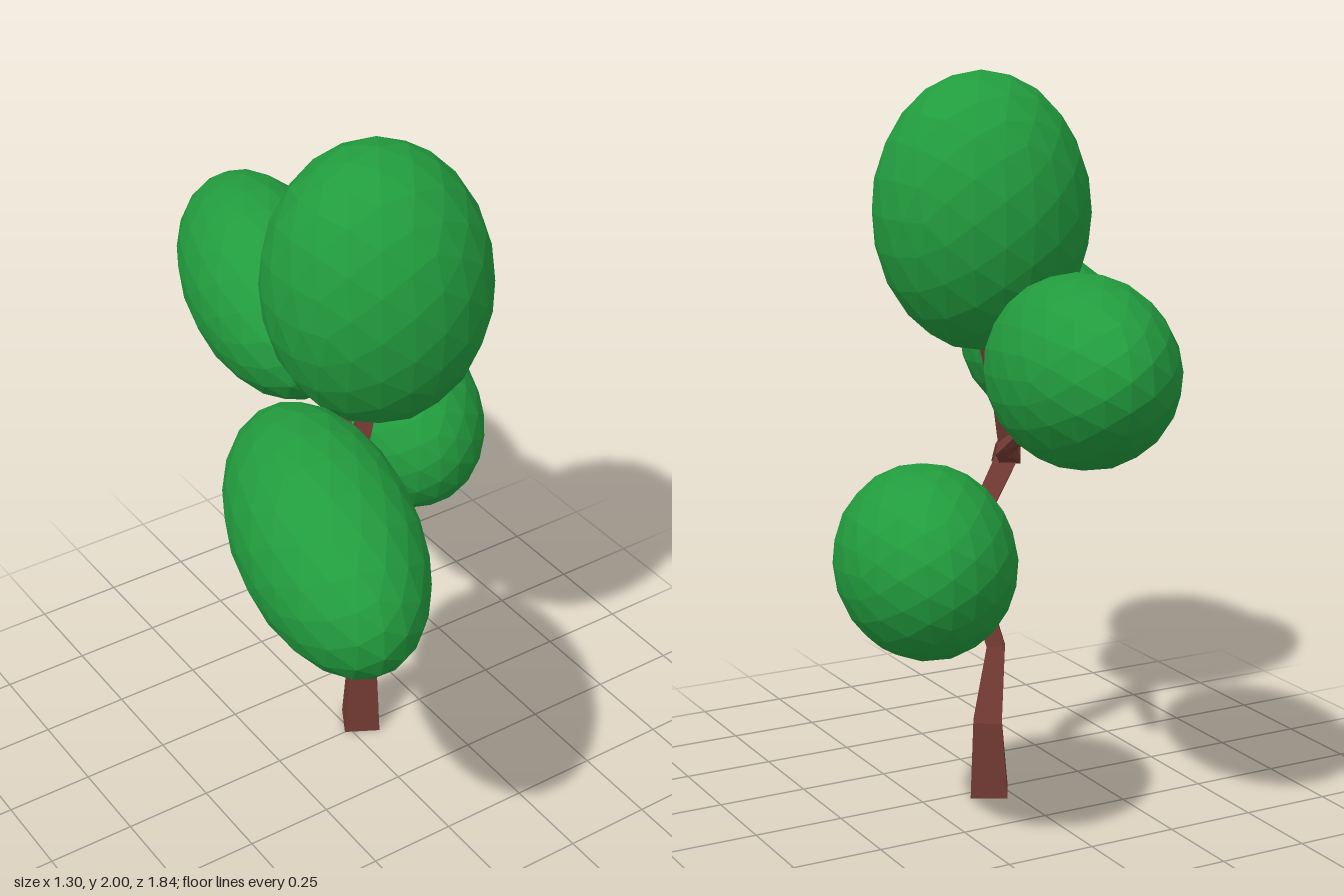
import * as THREE from 'three';

const bark = new THREE.MeshStandardMaterial({ color: 0x733a33, flatShading: true });
const leaf = new THREE.MeshStandardMaterial({ color: 0x229c3e, flatShading: true });
const UP = new THREE.Vector3(0, 1, 0);
const SIDES = 4;

// Four-sided tapering limb through points [x, y, z, radius]
function limb(name, path, flatBase = false) {
  const pts = path.map(([x, y, z]) => new THREE.Vector3(x, y, z));
  const pos = [], index = [];
  pts.forEach((p, k) => {
    const ahead = pts[Math.min(k + 1, pts.length - 1)].clone().sub(p).normalize();
    const behind = p.clone().sub(pts[Math.max(k - 1, 0)]).normalize();
    const dir = flatBase && k === 0 ? UP : ahead.add(behind).normalize();
    const q = new THREE.Quaternion().setFromUnitVectors(UP, dir);
    for (let i = 0; i < SIDES; i++) {
      const a = 1.29 + (i / SIDES) * Math.PI * 2;
      const v = new THREE.Vector3(Math.cos(a), 0, Math.sin(a));
      v.multiplyScalar(path[k][3]).applyQuaternion(q).add(p);
      pos.push(v.x, v.y, v.z);
    }
  });
  for (let k = 0; k < pts.length - 1; k++) {
    for (let i = 0; i < SIDES; i++) {
      const a = k * SIDES + i, b = k * SIDES + (i + 1) % SIDES;
      index.push(a, a + SIDES, b, b, a + SIDES, b + SIDES);
    }
  }
  // End caps
  const e = (pts.length - 1) * SIDES;
  index.push(0, 1, 2, 0, 2, 3, e, e + 2, e + 1, e, e + 3, e + 2);
  const geo = new THREE.BufferGeometry();
  geo.setAttribute('position', new THREE.Float32BufferAttribute(pos, 3));
  geo.setIndex(index);
  geo.computeVertexNormals();
  const mesh = new THREE.Mesh(geo, bark);
  mesh.name = name;
  return mesh;
}

// Faceted ellipsoid of leaves, its long axis turned from +z to the given direction
function foliage(name, center, radii, axis = [0, 0, 1]) {
  const mesh = new THREE.Mesh(new THREE.IcosahedronGeometry(1, 3), leaf);
  mesh.name = name;
  mesh.position.set(...center);
  mesh.scale.set(...radii);
  mesh.quaternion.setFromUnitVectors(
    new THREE.Vector3(0, 0, 1), new THREE.Vector3(...axis).normalize());
  return mesh;
}

export function createModel() {
  const tree = new THREE.Group();
  tree.name = 'tree';

  // Trunk, bending up to the main fork
  tree.add(limb('trunk', [
    [0.05, 0, -0.02, 0.073],
    [0.055, 0.21, -0.02, 0.056],
    [0.003, 0.41, 0.027, 0.036],
    [0.043, 0.6, 0.083, 0.036],
    [0.055, 0.73, 0.088, 0.042],
    [-0.03, 0.83, 0.12, 0.04],
    [-0.105, 0.92, 0.155, 0.045],
    [-0.11, 0.97, 0.155, 0.04],
  ], true));

  // Branches
  tree.add(limb('topBranch', [
    [-0.115, 0.93, 0.16, 0.042], [-0.07, 1.1, 0.135, 0.032], [-0.015, 1.27, 0.12, 0.03],
  ]));
  tree.add(limb('frontBranch', [
    [-0.09, 0.92, 0.15, 0.045], [-0.18, 0.965, 0.235, 0.032],
    [-0.25, 1.0, 0.33, 0.025], [-0.29, 1.04, 0.37, 0.02],
  ]));
  tree.add(limb('backBranch', [
    [-0.12, 0.92, 0.17, 0.042], [0, 0.98, -0.02, 0.03],
    [0.1, 1.025, -0.19, 0.024], [0.082, 1.08, -0.26, 0.02],
  ]));
  tree.add(limb('sideBranch', [
    [0.045, 0.74, 0.095, 0.042], [0.11, 0.71, 0.03, 0.028],
    [0.24, 0.68, -0.13, 0.018], [0.29, 0.69, -0.19, 0.015],
  ]));

  // Foliage
  const lean = [-0.26, -0.13, 1];
  tree.add(foliage('topFoliage', [-0.02, 1.615, 0.15], [0.302, 0.385, 0.302]));
  tree.add(foliage('frontFoliage', [-0.408, 1.185, 0.497], [0.23, 0.25, 0.44], lean));
  tree.add(foliage('backFoliage', [0.043, 1.285, -0.495], [0.23, 0.25, 0.44], lean));
  tree.add(foliage('sideFoliage', [0.41, 0.8, -0.343], [0.232, 0.252, 0.33], lean));
  return tree;
}
